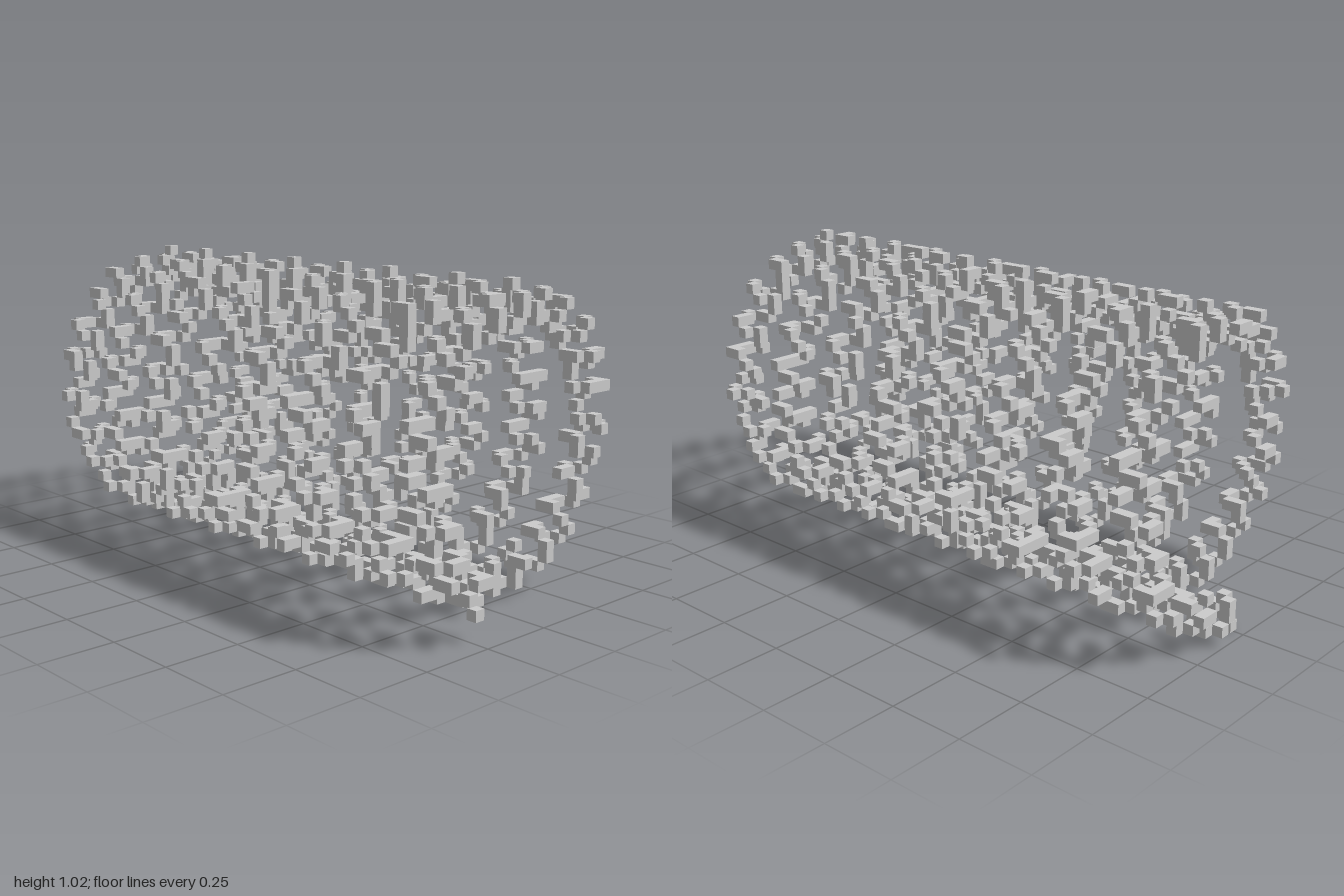
import * as THREE from 'three';
import { mergeGeometries } from 'three/addons/utils/BufferGeometryUtils.js';

const S = 2 / 57;              // edge of one cube
const TURNS = 7.915;           // turns of the large coil
const PITCH = 6.88;            // advance per turn, in cubes
const MAJOR = 12.45;           // radius of the large coil, in cubes
const MINOR = 1.2;             // radius of the small coil wound around it
const WINDS = 24;              // small winds per large turn
const SAMPLES = 1500;

// Point on the coiled coil, starting at the bottom and rising along the back
function coilPoint(turn) {
  const a = turn * Math.PI * 2;
  const r = MAJOR + MINOR * Math.cos(WINDS * a);
  return [
    0.87 + PITCH * turn + MINOR * Math.sin(WINDS * a) - 28,
    -r * Math.cos(a),
    -r * Math.sin(a),
  ].map(Math.round);
}

// One outward square for each side of a cube
function makeSides() {
  const front = new THREE.Vector3(0, 0, 1);
  return [[1, 0, 0], [-1, 0, 0], [0, 1, 0], [0, -1, 0], [0, 0, 1], [0, 0, -1]].map((dir) => {
    const n = new THREE.Vector3(...dir);
    const plane = new THREE.PlaneGeometry(S, S);
    plane.applyQuaternion(new THREE.Quaternion().setFromUnitVectors(front, n));
    plane.translate(n.x * S / 2, n.y * S / 2, n.z * S / 2);
    return { dir, plane };
  });
}

export function createModel() {
  const group = new THREE.Group();
  group.name = 'cubeCoil';

  // Snap the coil to a grid of cubes
  const cells = new Map();
  for (let k = 0; k <= SAMPLES; k++) {
    const c = coilPoint(TURNS * k / SAMPLES);
    cells.set(c.join(), c);
  }

  // Keep only the sides that have no neighbour
  const sides = makeSides();
  const faces = [];
  for (const [x, y, z] of cells.values()) {
    for (const { dir, plane } of sides) {
      if (cells.has([x + dir[0], y + dir[1], z + dir[2]].join())) continue;
      faces.push(plane.clone().translate(x * S, (y + 14.5) * S, z * S));
    }
  }

  const coil = new THREE.Mesh(
    mergeGeometries(faces),
    new THREE.MeshStandardMaterial({ color: 0xcccccc, flatShading: true }),
  );
  coil.name = 'coiledCoil';
  group.add(coil);
  return group;
}
